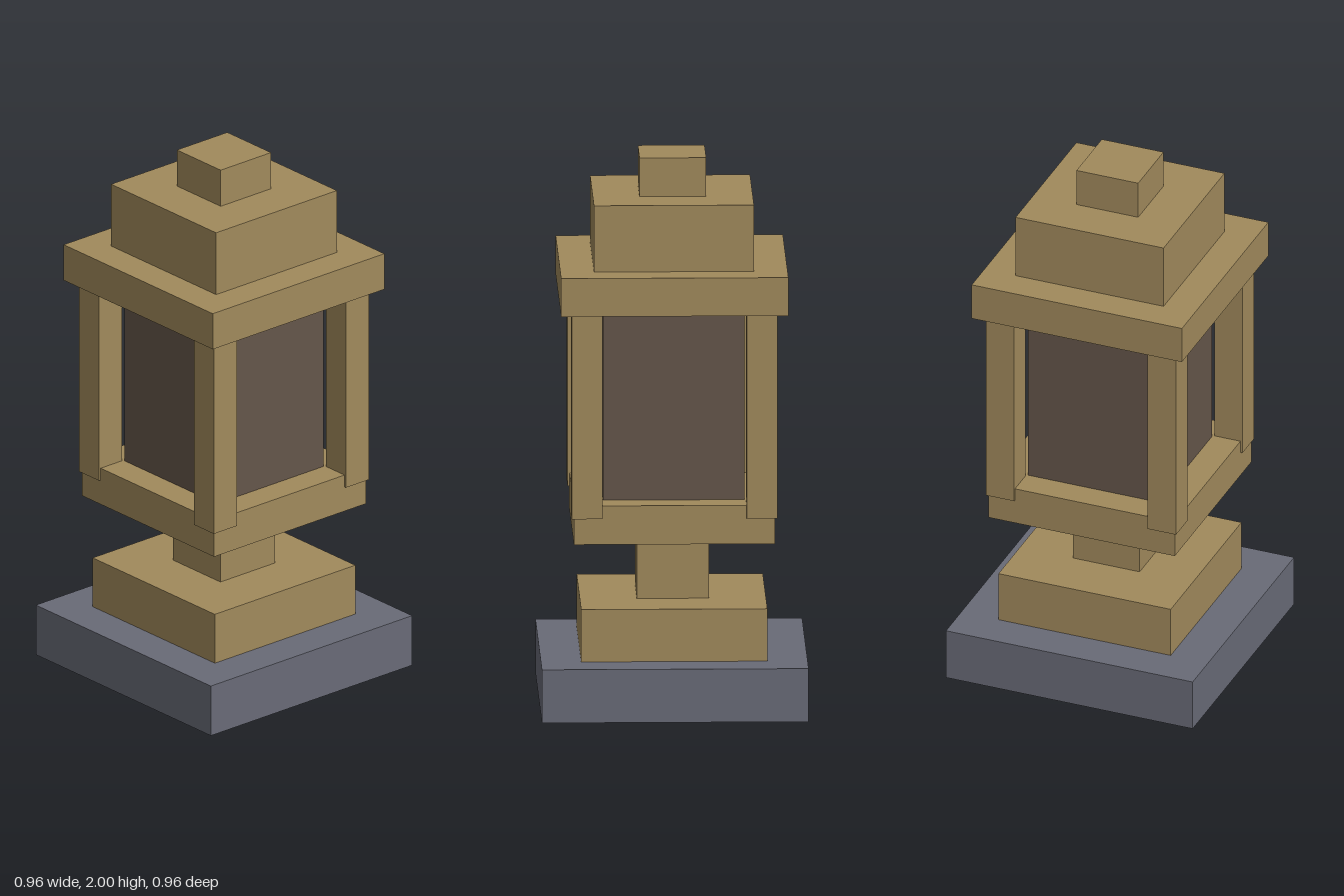
import * as THREE from 'three';

export function createModel() {
  const model = new THREE.Group();
  model.name = 'lantern';

  const material = (name, color) => {
    const m = new THREE.MeshStandardMaterial({ color });
    m.name = name;
    return m;
  };
  const brass = material('brass', 0xa18a5c);
  const stone = material('slate stone', 0x696b77);
  const glass = material('smoked glass', 0x65564a);

  // Square block from y0 to y1, centred on (x, z)
  const block = (name, mat, half, y0, y1, x = 0, z = 0) => {
    const mesh = new THREE.Mesh(new THREE.BoxGeometry(half * 2, y1 - y0, half * 2), mat);
    mesh.name = name;
    mesh.position.set(x, (y0 + y1) / 2, z);
    model.add(mesh);
  };

  // Pedestal
  block('base', stone, 0.48, 0, 0.195);
  block('pedestalStep', brass, 0.335, 0.195, 0.387);
  block('neck', brass, 0.13, 0.387, 0.605);

  // Lamp housing, floating just above the neck
  block('tray', brass, 0.362, 0.63, 0.772);
  block('lampCore', glass, 0.254, 0.772, 1.46);

  // Corner posts, overlapping the tray corners
  for (const x of [-1, 1]) {
    for (const z of [-1, 1]) {
      const name = (z > 0 ? 'front' : 'back') + (x > 0 ? 'Left' : 'Right') + 'Post';
      block(name, brass, 0.055, 0.725, 1.475, x * 0.315, z * 0.315);
    }
  }

  // Stepped roof
  block('roofEave', brass, 0.409, 1.475, 1.615);
  block('roofCap', brass, 0.288, 1.615, 1.858);
  block('finial', brass, 0.12, 1.858, 2);

  return model;
}
